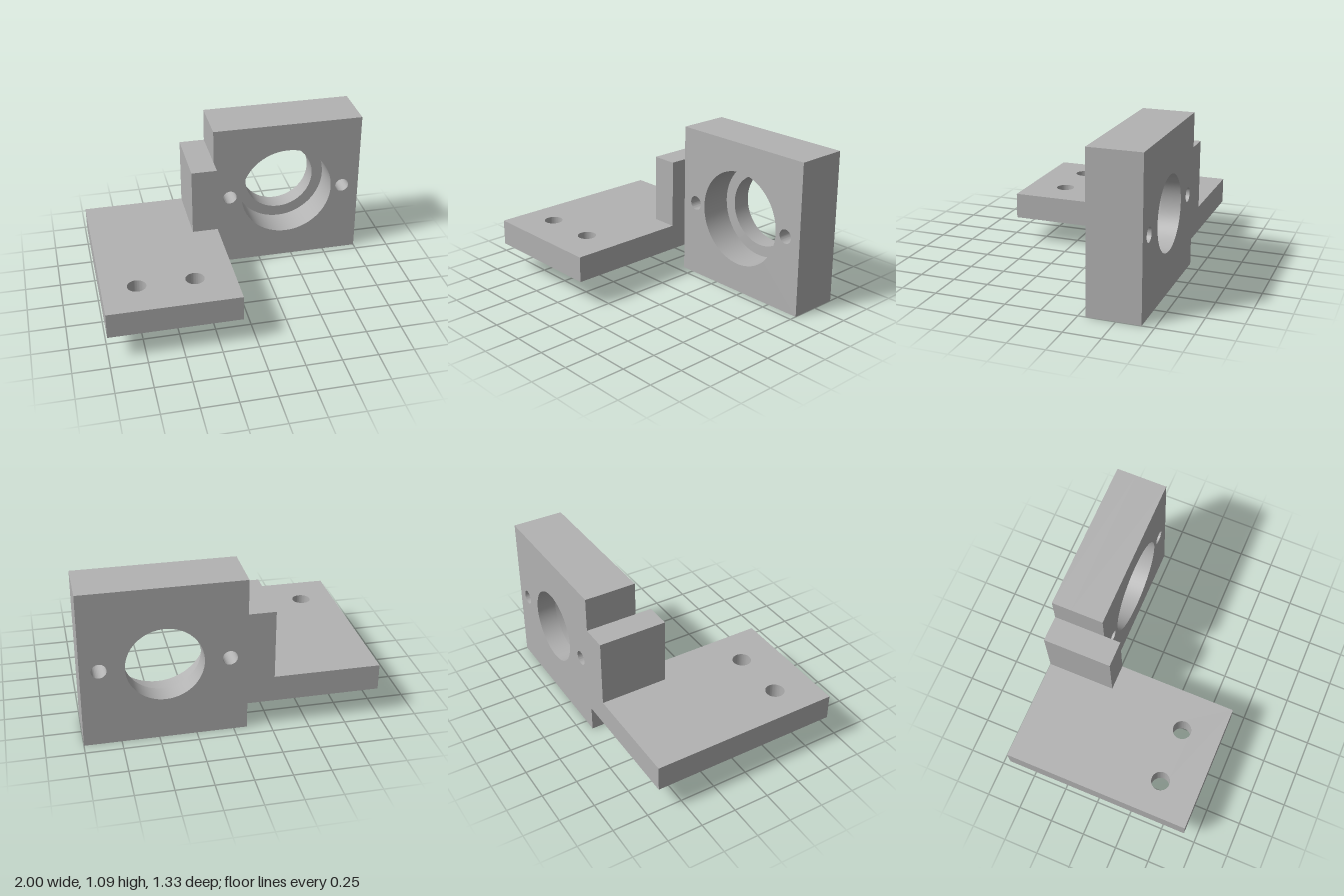
import * as THREE from 'three';
import { toCreasedNormals } from 'three/addons/utils/BufferGeometryUtils.js';

// Rectangle in the drawing plane with round holes [x, y, radius], extruded by depth
function drilledPlate(x0, x1, y0, y1, depth, holes) {
  const shape = new THREE.Shape();
  shape.moveTo(x0, y0);
  shape.lineTo(x1, y0);
  shape.lineTo(x1, y1);
  shape.lineTo(x0, y1);
  shape.closePath();
  for (const [x, y, r] of holes) {
    shape.holes.push(new THREE.Path().absarc(x, y, r, 0, Math.PI * 2, true));
  }
  const geometry = new THREE.ExtrudeGeometry(shape, { depth, bevelEnabled: false, curveSegments: 32 });
  return toCreasedNormals(geometry, 0.5);
}

export function createModel() {
  const group = new THREE.Group();
  const metal = new THREE.MeshStandardMaterial({ color: 0xb2b2b2 });
  metal.name = 'grey metal';

  const add = (name, geometry) => {
    const mesh = new THREE.Mesh(geometry, metal);
    mesh.name = name;
    group.add(mesh);
    return mesh;
  };

  const back = -0.667, front = -0.303, step = -0.53; // z of block faces and bore shoulder
  const side = -0.091; // x where block meets the arm
  const screwHoles = [[0.027, 0.546, 0.05], [0.876, 0.546, 0.05]];

  // Upright block: wide counterbore in front, narrower bore behind
  add('blockFront', drilledPlate(side, 1, 0, 1.091, front - step, [[0.452, 0.546, 0.339], ...screwHoles]))
    .position.z = step;
  add('blockBack', drilledPlate(side, 1, 0, 1.091, step - back, [[0.452, 0.546, 0.258], ...screwHoles]))
    .position.z = back;

  // Horizontal mounting plate with two vertical holes, drawn as (x, -z) and laid flat
  const plate = add('mountingPlate',
    drilledPlate(-1, side, -0.667, 0.667, 0.182, [[-0.76, -0.39, 0.065], [-0.365, -0.39, 0.065]]));
  plate.rotation.x = -Math.PI / 2;
  plate.position.y = 0.184;

  // Stiffening rib standing on the plate beside the block
  const ribTop = 0.848, ribBottom = 0.366, ribFront = -0.184, ribLeft = -0.273;
  add('rib', new THREE.BoxGeometry(side - ribLeft, ribTop - ribBottom, ribFront - back))
    .position.set((side + ribLeft) / 2, (ribTop + ribBottom) / 2, (ribFront + back) / 2);

  return group;
}
